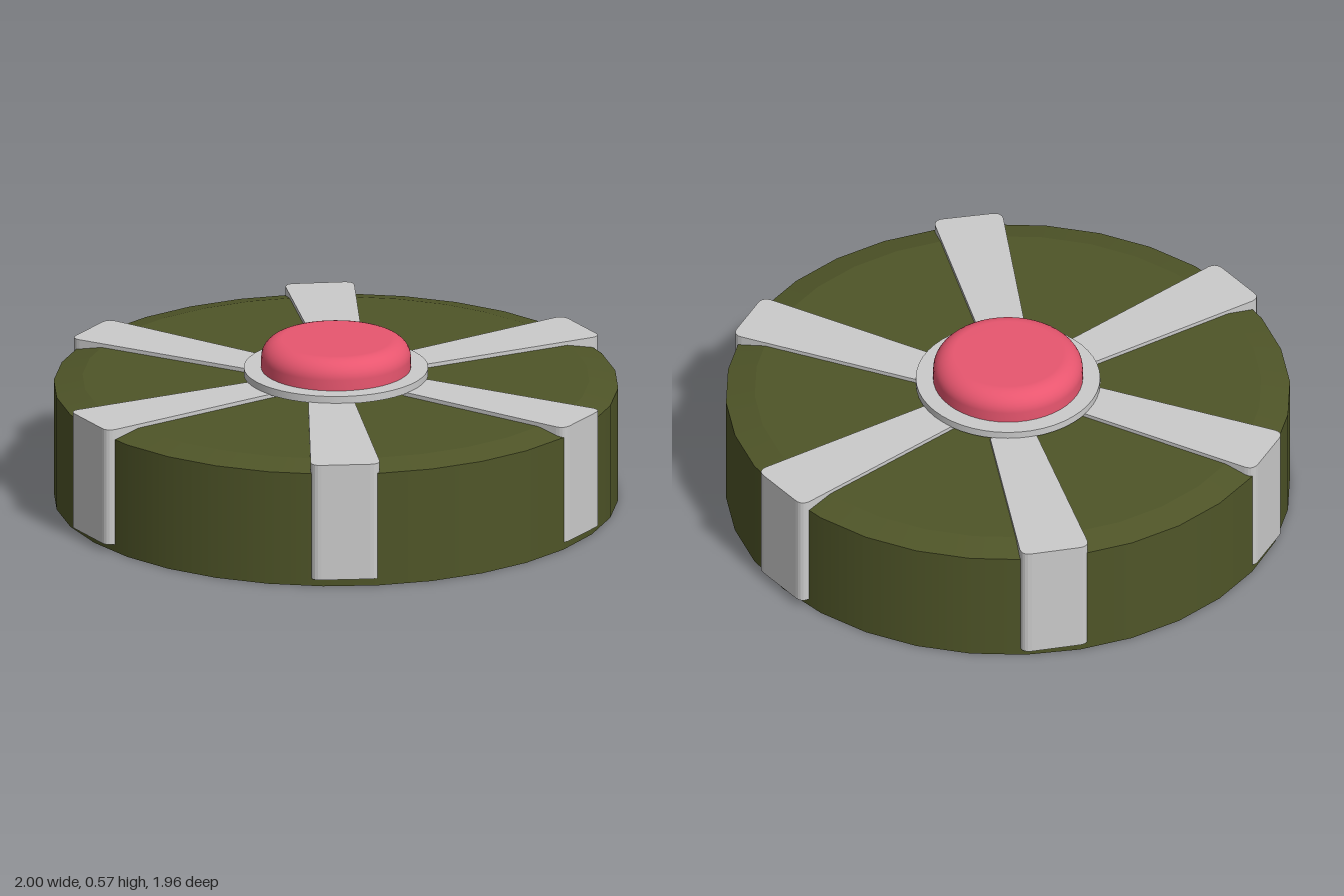
import * as THREE from 'three';

const material = (color) => new THREE.MeshStandardMaterial({ color });

// Turned part; repeated profile points keep an edge crisp
function turned(name, profile, segments, mat) {
  const points = profile.map(([r, y]) => new THREE.Vector2(r, y));
  const mesh = new THREE.Mesh(new THREE.LatheGeometry(points, segments), mat);
  mesh.name = name;
  return mesh;
}

// Tapered bracket from an inner to an outer midpoint (x, z), rounded at its outer corners
function bracket(name, inner, outer, innerHalf, outerHalf, mat) {
  const dx = outer[0] - inner[0], dz = outer[1] - inner[1];
  const length = Math.hypot(dx, dz), r = 0.035;
  const shape = new THREE.Shape();
  shape.moveTo(0, -innerHalf);
  shape.lineTo(length - r, -outerHalf);
  shape.quadraticCurveTo(length, -outerHalf, length, -outerHalf + r);
  shape.lineTo(length, outerHalf - r);
  shape.quadraticCurveTo(length, outerHalf, length - r, outerHalf);
  shape.lineTo(0, innerHalf);
  shape.closePath();
  const geometry = new THREE.ExtrudeGeometry(shape, { depth: 0.42, bevelEnabled: false, curveSegments: 5 });
  geometry.rotateX(-Math.PI / 2);
  const mesh = new THREE.Mesh(geometry, mat);
  mesh.name = name;
  mesh.position.set(inner[0], 0.027, inner[1]);
  mesh.rotation.y = Math.atan2(-dz, dx);
  return mesh;
}

export function createModel() {
  const model = new THREE.Group();
  model.name = 'pressureMine';
  const green = material(0x4f5528), grey = material(0xcccccc), red = material(0xe8566f);

  // Drum body with a shallow chamfer around the top
  model.add(turned('body', [
    [0, 0], [0.98, 0], [0.98, 0], [0.98, 0.41], [0.98, 0.41],
    [0.88, 0.433], [0.88, 0.433], [0, 0.433],
  ], 32, green));

  // Six brackets: two along x, four on the diagonals
  for (const sx of [1, -1]) {
    const side = sx > 0 ? 'left' : 'right';
    model.add(bracket(`${side}Bracket`, [sx * 0.25, -0.005], [sx, -0.005], 0.072, 0.126, grey));
    for (const sz of [1, -1]) {
      const end = sz > 0 ? 'Front' : 'Back';
      const outer = sx > 0 && sz < 0 ? [0.46, -0.877] : [sx * 0.48, sz * 0.862];
      model.add(bracket(`${side}${end}Bracket`, [sx * 0.17, sz * 0.25], outer, 0.08, 0.12, grey));
    }
  }

  // Collar under the button
  model.add(turned('collar', [
    [0, 0.435], [0.25, 0.435], [0.25, 0.445], [0.25, 0.445], [0.32, 0.445], [0.32, 0.445],
    [0.32, 0.472], [0.32, 0.472], [0, 0.472],
  ], 48, grey));

  // Push button with a rounded rim
  const profile = [[0, 0.46], [0.26, 0.46], [0.26, 0.46]];
  for (let i = 0; i <= 8; i++) {
    const a = (i / 8) * Math.PI / 2;
    profile.push([0.19 + 0.07 * Math.cos(a), 0.51 + 0.065 * Math.sin(a)]);
  }
  profile.push([0, 0.575]);
  model.add(turned('button', profile, 48, red));

  return model;
}
